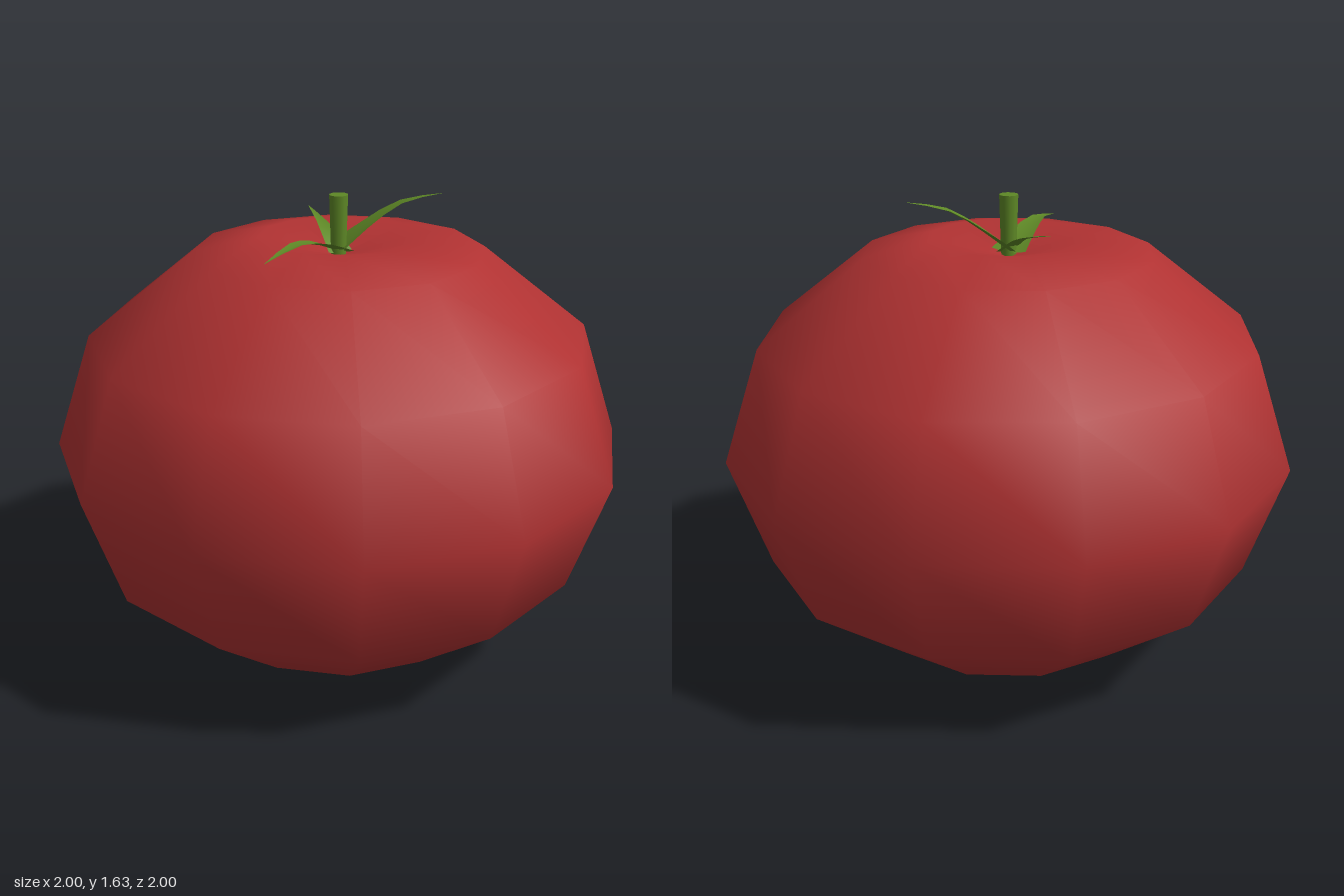
import * as THREE from 'three';

const skin = new THREE.MeshStandardMaterial({ color: 0xb03232 });
skin.name = 'tomato red';
const green = new THREE.MeshStandardMaterial({ color: 0x5e8826, side: THREE.DoubleSide });
green.name = 'leaf green';

const v = (x, y, z) => new THREE.Vector3(x, y, z);

// Pointed sepal swept along a curve, with a shallow V section
function sepal(points, width) {
  const curve = new THREE.CatmullRomCurve3(points);
  const steps = 6;
  const pos = [], idx = [];
  for (let i = 0; i <= steps; i++) {
    const t = i / steps;
    const p = curve.getPoint(t);
    const d = curve.getTangent(t).setY(0).normalize();
    const half = width * (1 - t) ** 0.9 / 2;
    for (const s of [-1, 0, 1]) {
      pos.push(p.x - d.z * s * half, p.y + Math.abs(s) * half * 0.2, p.z + d.x * s * half);
    }
    if (i < steps) {
      for (let k = 0; k < 2; k++) {
        const a = i * 3 + k, b = a + 3;
        idx.push(a, a + 1, b, a + 1, b + 1, b);
      }
    }
  }
  const g = new THREE.BufferGeometry();
  g.setAttribute('position', new THREE.Float32BufferAttribute(pos, 3));
  g.setIndex(idx);
  g.computeVertexNormals();
  return g;
}

export function createModel() {
  const model = new THREE.Group();
  model.name = 'tomato';
  const add = (name, geometry, material) => {
    const mesh = new THREE.Mesh(geometry, material);
    mesh.name = name;
    model.add(mesh);
    return mesh;
  };

  // Twelve-sided body with a dimple on top
  const profile = [
    [0, 0], [0.5, 0.06], [0.866, 0.35], [1, 0.75],
    [0.866, 1.15], [0.5, 1.44], [0.27, 1.49], [0, 1.42],
  ].map(([r, y]) => new THREE.Vector2(r, y));
  add('body', new THREE.LatheGeometry(profile, 12), skin);

  // Stem
  add('stem', new THREE.CylinderGeometry(0.033, 0.026, 0.22, 10), green)
    .position.set(-0.01, 1.52, 0.01);

  // Three sepals around the stem
  add('rightSepal', sepal([v(0, 1.44, 0), v(0.08, 1.51, 0.035), v(0.19, 1.59, 0.09), v(0.31, 1.625, 0.17)], 0.15), green);
  add('leftSepal', sepal([v(0, 1.43, 0), v(-0.1, 1.475, 0.035), v(-0.23, 1.505, 0.09), v(-0.39, 1.48, 0.15)], 0.13), green);
  add('backSepal', sepal([v(-0.01, 1.43, 0.02), v(-0.005, 1.48, -0.05), v(0.01, 1.51, -0.13), v(0.035, 1.54, -0.25)], 0.09), green);

  return model;
}
